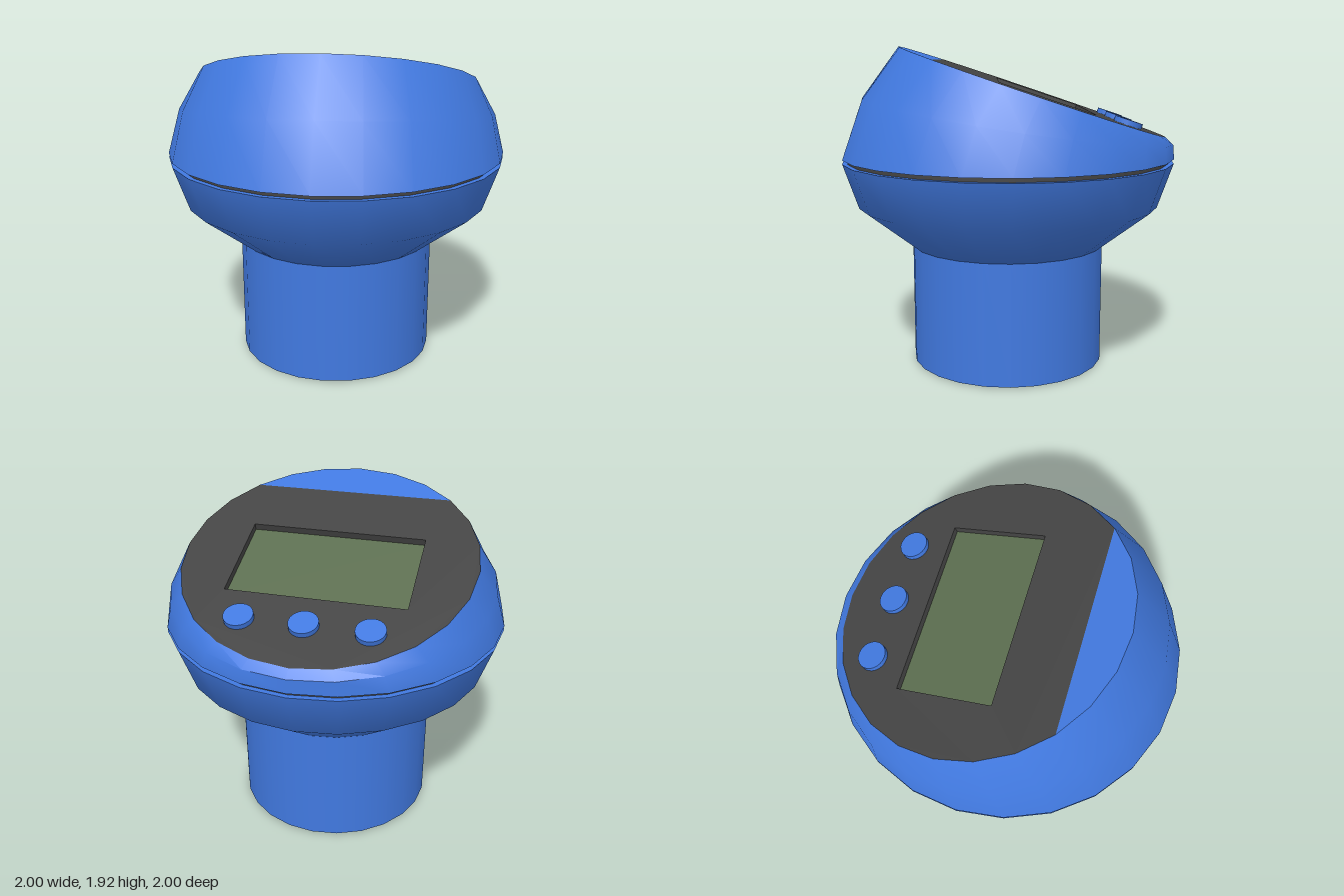
import * as THREE from 'three';
import { toCreasedNormals } from 'three/addons/utils/BufferGeometryUtils.js';

const SIDES = 24;
const TILT = 0.323; // slope of the instrument face, rising towards the front

const paint = (color) => new THREE.MeshStandardMaterial({ color });
const blue = paint(0x4179e0);
const dark = paint(0x444444);
const green = paint(0x5c6e50);

function addMesh(parent, name, geometry, material) {
  const mesh = new THREE.Mesh(geometry, material);
  mesh.name = name;
  parent.add(mesh);
  return mesh;
}

const lathe = (profile) =>
  new THREE.LatheGeometry(profile.map(([r, y]) => new THREE.Vector2(r, y)), SIDES);
const crease = (geometry) => toCreasedNormals(geometry, 0.7);

// Upper shell: rings that tilt and shift backwards as they rise
function upperShellGeometry() {
  const rings = [ // radius, height, shift in z, tilt
    [0.9, 1.27, 0, 0],
    [1, 1.27, 0, 0],
    [0.945, 1.485, -0.06, 0.145],
    [0.843, 1.655, -0.148, TILT],
  ];
  const geometry = lathe(rings);
  const pos = geometry.attributes.position;
  for (let i = 0; i < pos.count; i++) {
    const [, y, shift, tilt] = rings[i % rings.length];
    const z = pos.getZ(i);
    pos.setY(i, y + z * Math.sin(tilt));
    pos.setZ(i, shift + z * Math.cos(tilt));
  }
  return crease(geometry);
}

// Slab cut from the round face between two corner numbers, top surface at y = 0
function faceSlab(from, to, depth, hole) {
  const points = [];
  for (let i = from; i <= to; i++) {
    const a = (i / SIDES) * Math.PI * 2;
    points.push(new THREE.Vector2(0.843 * Math.cos(a), 0.843 * Math.sin(a)));
  }
  const shape = new THREE.Shape(points);
  if (hole) shape.holes.push(hole);
  const geometry = new THREE.ExtrudeGeometry(shape, { depth, bevelEnabled: false });
  return geometry.translate(0, 0, -depth).rotateX(-Math.PI / 2);
}

export function createModel() {
  const model = new THREE.Group();
  model.name = 'digitalGauge';

  // Base: neck, bowl, seam ring and tilted shell
  addMesh(model, 'neck', lathe([[0.588, 0.005], [0.588, 0.74]]), blue);
  addMesh(model, 'lowerBowl',
    crease(lathe([[0.57, 0.73], [0.59, 0.73], [0.91, 0.98], [1, 1.245], [0.9, 1.245]])), blue);
  addMesh(model, 'seamRing', lathe([[0.97, 1.24], [0.97, 1.275]]), dark);
  addMesh(model, 'upperShell', upperShellGeometry(), blue);

  // Underside: dark plate with a deep well and a tube inside it
  addMesh(model, 'basePlate',
    crease(lathe([[0, 0.5], [0.43, 0.5], [0.43, 0.005], [0.588, 0.005]])), dark);
  addMesh(model, 'socketTube',
    crease(lathe([[0.25, 0.5], [0.25, 0], [0.317, 0], [0.317, 0.5]])), dark);

  // Tilted instrument face
  const face = new THREE.Group();
  face.name = 'instrumentFace';
  face.position.set(0, 1.655, -0.148);
  face.rotation.x = -TILT;
  model.add(face);

  const back = 0.345, front = 0.219, half = 0.51, recess = 0.04;
  const windowHole = new THREE.Path([
    new THREE.Vector2(-half, -front), new THREE.Vector2(-half, back),
    new THREE.Vector2(half, back), new THREE.Vector2(half, -front),
  ]);
  addMesh(face, 'facePanel', faceSlab(-3, 15, recess + 0.005, windowHole), dark);
  addMesh(face, 'frontCap', faceSlab(15, 21, recess), blue);
  const screen = addMesh(face, 'screen',
    new THREE.BoxGeometry(half * 2, 0.02, back + front), green);
  screen.position.set(0, -recess - 0.01, (front - back) / 2);

  // Row of three buttons
  for (const x of [-0.357, 0, 0.357]) {
    const button = addMesh(face, 'button', new THREE.CylinderGeometry(0.082, 0.082, 0.05, SIDES), blue);
    button.position.set(x, 0.005, -0.55);
  }
  return model;
}
